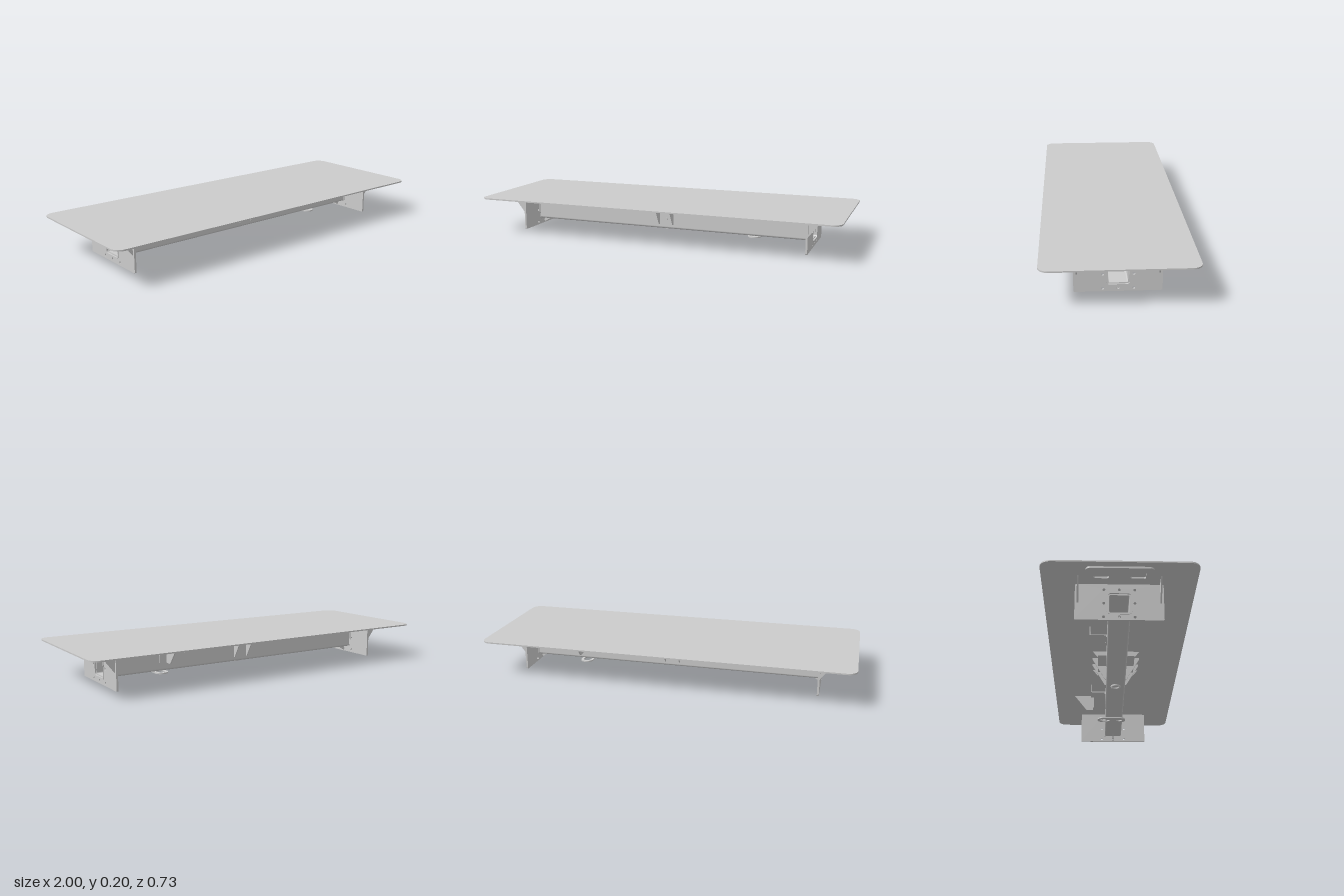
import * as THREE from 'three';

const mat = new THREE.MeshStandardMaterial({ color: 0xcccccc, side: THREE.DoubleSide });

// Rounded rectangle centred on (cx, cy)
function roundRect(w, h, r, cx = 0, cy = 0, Type = THREE.Shape) {
  const s = new Type(), a = w / 2, b = h / 2;
  s.absarc(cx + a - r, cy + b - r, r, 0, Math.PI / 2);
  s.absarc(cx - a + r, cy + b - r, r, Math.PI / 2, Math.PI);
  s.absarc(cx - a + r, cy - b + r, r, Math.PI, Math.PI * 1.5);
  s.absarc(cx + a - r, cy - b + r, r, Math.PI * 1.5, Math.PI * 2);
  s.closePath();
  return s;
}
const hole = (x, y, r) => new THREE.Path().absarc(x, y, r, 0, Math.PI * 2);
const poly = pts => new THREE.Shape(pts.map(p => new THREE.Vector2(p[0], p[1])));
const extrude = (shape, depth) => new THREE.ExtrudeGeometry(shape, { depth, bevelEnabled: false, curveSegments: 8 });

export function createModel() {
  const group = new THREE.Group();
  const add = (name, geo) => {
    const m = new THREE.Mesh(geo, mat);
    m.name = name;
    group.add(m);
    return m;
  };
  const box = (name, w, h, d, x, y, z) => add(name, new THREE.BoxGeometry(w, h, d).translate(x, y, z));
  // Sheet lying flat: shape in (x, -z), y is its underside
  const flat = (name, shape, t, x, y, z) =>
    add(name, extrude(shape, t).rotateX(-Math.PI / 2).translate(x, y, z));
  // Sheet facing sideways: shape in (-z, y), centred on x
  const side = (name, shape, t, x) =>
    add(name, extrude(shape, t).rotateY(Math.PI / 2).translate(x - t / 2, 0, 0));

  // Table top
  flat('tableTop', roundRect(2, 0.725, 0.05), 0.007, 0, 0.19, 0);

  // Hollow square beam
  const beam = roundRect(0.106, 0.104, 0.012, 0, 0.088);
  beam.holes.push(roundRect(0.094, 0.092, 0.007, 0, 0.088, THREE.Path));
  side('beam', beam, 1.62, 0);

  for (const s of [-1, 1]) {
    // End plate with beam opening and bolt holes
    const plate = roundRect(0.414, 0.19, 0.006, 0, 0.095);
    plate.holes.push(roundRect(0.106, 0.104, 0.012, 0, 0.088, THREE.Path));
    for (const z of [-0.072, 0, 0.072])
      for (const y of [0.016, 0.088, 0.16])
        if (z !== 0 || y !== 0.088) plate.holes.push(hole(z, y, 0.007));
    side('endPlate', plate, 0.01, s * 0.81);

    // Collar around the beam end
    const collar = roundRect(0.118, 0.116, 0.018, 0, 0.088);
    collar.holes.push(roundRect(0.106, 0.104, 0.012, 0, 0.088, THREE.Path));
    side('beamCollar', collar, 0.016, s * 0.81);

    // Outer gussets under the top
    for (const z of [-0.193, 0.193])
      add('outerGusset', extrude(poly([[s * 0.812, 0.19], [s * 0.89, 0.19], [s * 0.885, 0.18], [s * 0.815, 0.09], [s * 0.812, 0.09]]), 0.007)
        .translate(0, 0, z - 0.0035));

    // Lower gusset beneath the beam
    add('lowerGusset', extrude(poly([[s * 0.808, 0.038], [s * 0.75, 0.038], [s * 0.808, 0.002]]), 0.007)
      .translate(0, 0, -0.0035));

    // Slotted mounting pad
    const pad = roundRect(0.12, 0.31, 0.02);
    for (const z of [-0.085, 0.085]) pad.holes.push(roundRect(0.05, 0.07, 0.008, 0, z, THREE.Path));
    flat('mountingPad', pad, 0.009, s * 0.905, 0.181, 0);

    // Saddle clip over the beam
    const cx = s * 0.365, w = 0.08, t = 0.005;
    box('clipFloor', w, t, 0.2, cx, 0.1425, -0.042);
    box('clipBackWall', w, 0.05, t, cx, 0.166, -0.14);
    for (const z of [-0.056, 0.056]) box('clipLip', w, 0.016, t, cx, 0.137, z);
  }

  // Central support: saddle plate with fins
  box('supportPlate', 0.34, 0.005, 0.2, 0, 0.1425, 0);
  for (const x of [-0.04, 0.04])
    for (const d of [-1, 1])
      side('supportFin', poly([[d * 0.053, 0.19], [d * 0.13, 0.19], [d * 0.13, 0.18], [d * 0.06, 0.06], [d * 0.053, 0.06]]), 0.005, x);
  for (const x of [-0.12, 0.12])
    side('upperFin', poly([[-0.13, 0.19], [-0.09, 0.143], [0.09, 0.143], [0.13, 0.19]]), 0.005, x);

  // Vertical sleeve through the beam
  const sleeve = [[0.019, 0.03], [0.027, 0.03], [0.027, 0.145], [0.019, 0.145], [0.019, 0.03]];
  add('centreSleeve', new THREE.LatheGeometry(sleeve.map(p => new THREE.Vector2(...p)), 32));

  // Set screw on the beam face
  add('setScrew', new THREE.CylinderGeometry(0.009, 0.009, 0.004, 20).rotateX(Math.PI / 2).translate(0, 0.09, 0.054));

  // Side hanger: wall with a triangular rib
  box('hangerWall', 0.08, 0.095, 0.006, 0.5, 0.143, -0.127);
  side('hangerRib', poly([[0.127, 0.19], [0.245, 0.19], [0.17, 0.095], [0.127, 0.095]]), 0.006, 0.5);

  // Oblong loop beneath the beam
  const loop = roundRect(0.07, 0.17, 0.034);
  loop.holes.push(roundRect(0.04, 0.06, 0.019, 0, 0.04, THREE.Path), hole(0, -0.048, 0.018));
  flat('cableLoop', loop, 0.007, 0.5, 0.029, -0.015);

  return group;
}
